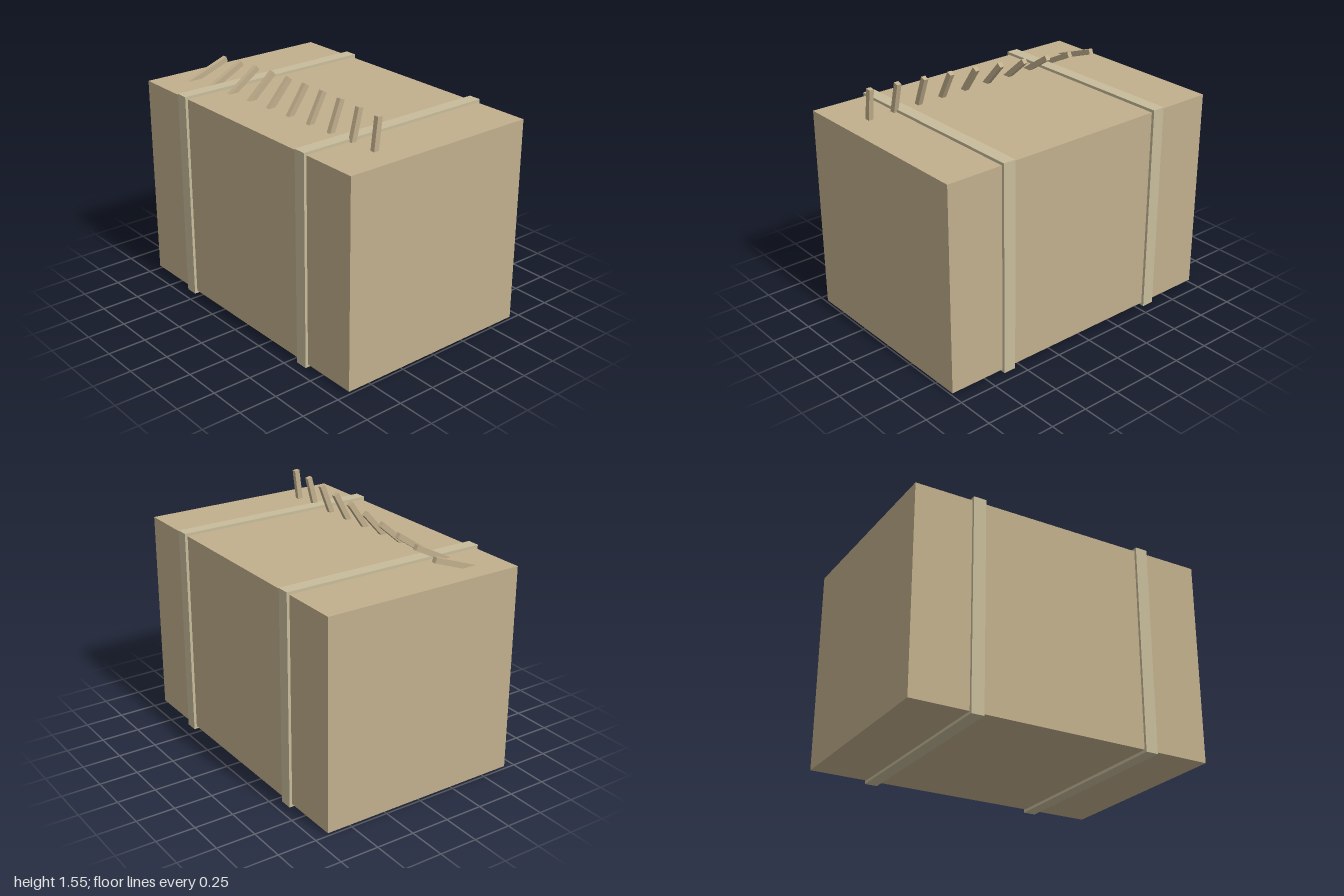
import * as THREE from 'three';

const material = (color) => new THREE.MeshStandardMaterial({ color, flatShading: true });

// Square band that wraps the crate, extruded along its width
function strapGeometry(outer, inner, width) {
  const square = (Type, h) => new Type([
    new THREE.Vector2(-h, -h), new THREE.Vector2(h, -h),
    new THREE.Vector2(h, h), new THREE.Vector2(-h, h),
  ]);
  const shape = square(THREE.Shape, outer);
  shape.holes.push(square(THREE.Path, inner));
  return new THREE.ExtrudeGeometry(shape, { depth: width, bevelEnabled: false })
    .translate(0, 0, -width / 2)
    .rotateY(Math.PI / 2);
}

export function createModel() {
  const model = new THREE.Group();
  model.name = 'strappedCrate';
  const wood = material(0xc2b08d);
  const strapMaterial = material(0xc8bd9b);
  const size = 1.334, centreY = 0.685;

  // Crate body
  const crate = new THREE.Mesh(new THREE.BoxGeometry(2, size, size), wood);
  crate.name = 'crateBody';
  crate.position.y = centreY;
  model.add(crate);

  // Pair of straps
  const strapShape = strapGeometry(0.685, size / 2, 0.082);
  for (const side of [-1, 1]) {
    const strap = new THREE.Mesh(strapShape, strapMaterial);
    strap.name = side > 0 ? 'leftStrap' : 'rightStrap';
    strap.position.set(side * 0.585, centreY, 0);
    model.add(strap);
  }

  // Row of slats on the lid, rising from nearly flat to nearly upright
  const slats = new THREE.Group();
  slats.name = 'slats';
  const slatShape = new THREE.BoxGeometry(0.031, 0.335, 0.035);
  const count = 10;
  for (let i = 0; i < count; i++) {
    const slat = new THREE.Mesh(slatShape, wood);
    slat.name = `slat${i + 1}`;
    slat.position.set(-0.835 + i * 0.1833, 1.386, 0.333);
    slat.rotation.x = -THREE.MathUtils.degToRad(70 - 7 * i);
    slats.add(slat);
  }
  model.add(slats);

  return model;
}
